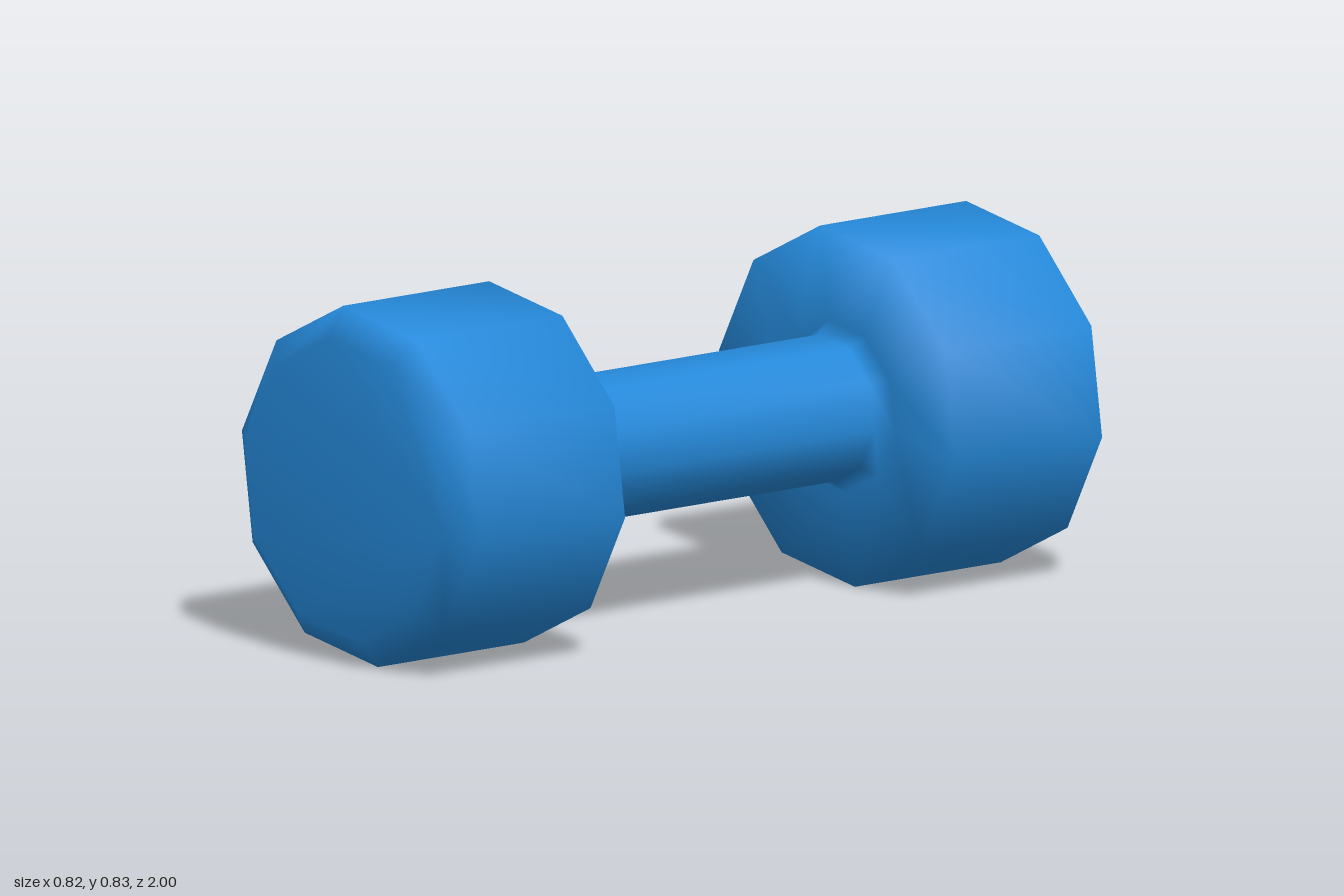
import * as THREE from 'three';

const SIDES = 10;
const TURN = THREE.MathUtils.degToRad(-9.7);
const CENTRE_Y = 0.4125;

// Half profile from the middle outwards: [radius, z]
const HALF = [
  [0.17, 0.47],   // end of grip
  [0.20, 0.505],  // flared collar
  [0.417, 0.505], // inner rim of weight
  [0.417, 0.95],  // outer rim of weight
  [0.35, 1.0],    // bevelled end face
];

export function createModel() {
  const blue = new THREE.MeshStandardMaterial({ color: 0x2589da });
  blue.name = 'blue';

  // Decagonal rings running from the rear end to the front end
  const rings = [...HALF.map(([r, z]) => [r, -z]).reverse(), ...HALF];
  const positions = [];
  for (const [r, z] of rings) {
    for (let j = 0; j < SIDES; j++) {
      const a = TURN + (j / SIDES) * Math.PI * 2;
      positions.push(r * Math.cos(a), CENTRE_Y + r * Math.sin(a), z);
    }
  }

  // Side faces between consecutive rings
  const band = (from, to) => {
    const index = [];
    for (let i = from; i < to; i++) {
      for (let j = 0; j < SIDES; j++) {
        const k = (j + 1) % SIDES;
        const a = i * SIDES + j, b = i * SIDES + k;
        const c = b + SIDES, d = a + SIDES;
        index.push(a, b, c, a, c, d);
      }
    }
    return index;
  };

  // Flat end face
  const cap = (ring, front) => {
    const index = [];
    const s = ring * SIDES;
    for (let j = 1; j < SIDES - 1; j++) {
      index.push(s, s + (front ? j : j + 1), s + (front ? j + 1 : j));
    }
    return index;
  };

  const last = rings.length - 1;
  const parts = {
    rearWeight: [...cap(0, false), ...band(0, 3)],
    handle: band(3, last - 3),
    frontWeight: [...band(last - 3, last), ...cap(last, true)],
  };

  // Normals are smoothed over the whole body, so the parts blend into each other
  const body = new THREE.BufferGeometry();
  body.setAttribute('position', new THREE.Float32BufferAttribute(positions, 3));
  body.setIndex(Object.values(parts).flat());
  body.computeVertexNormals();

  const group = new THREE.Group();
  group.name = 'dumbbell';
  for (const [name, index] of Object.entries(parts)) {
    const geometry = body.clone();
    geometry.setIndex(index);
    const mesh = new THREE.Mesh(geometry, blue);
    mesh.name = name;
    group.add(mesh);
  }
  return group;
}
